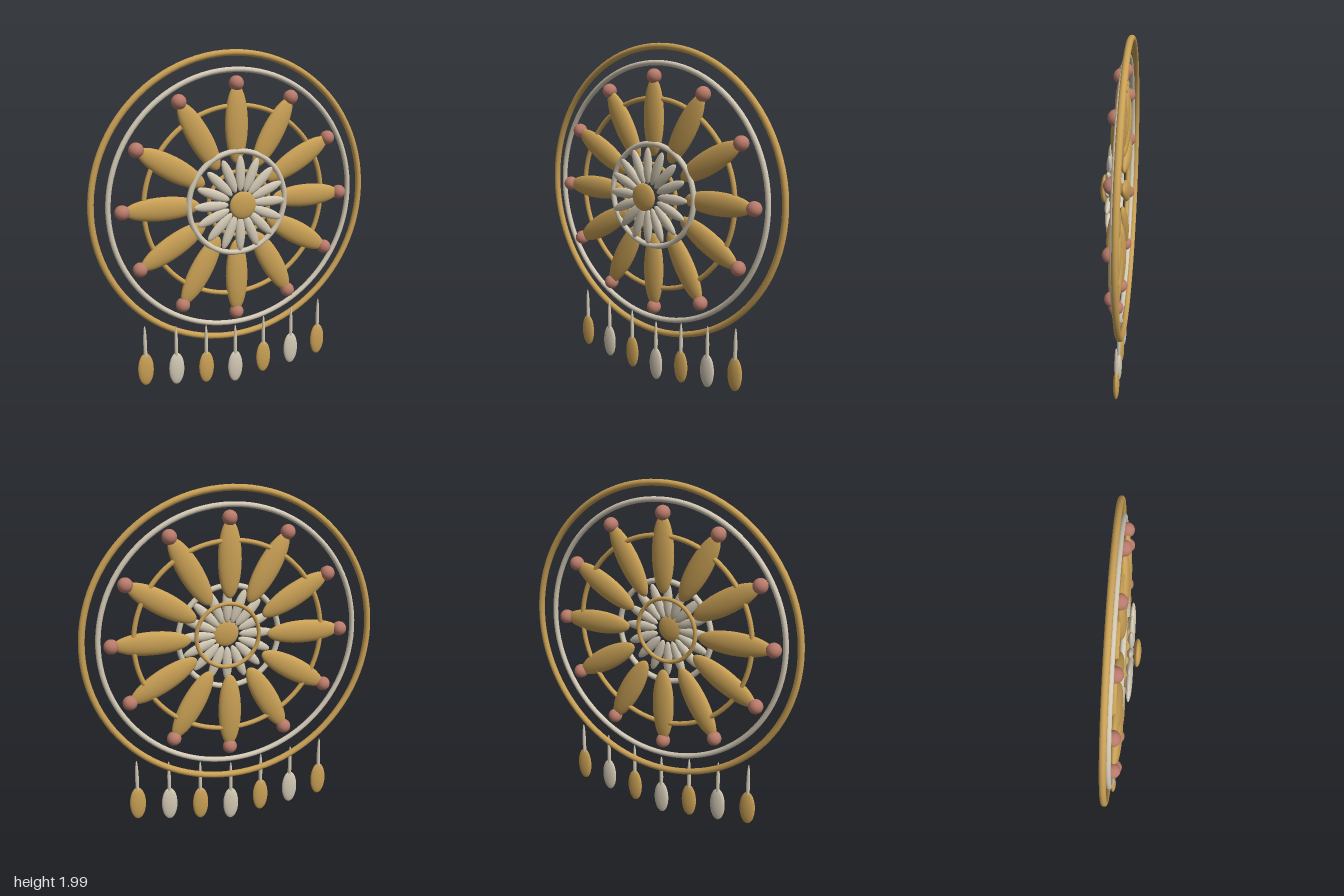
import * as THREE from 'three';

const gold = new THREE.MeshStandardMaterial({ name: 'gold', color: 0xc9a055 });
const silver = new THREE.MeshStandardMaterial({ name: 'silver', color: 0xd2c8b4 });
const rose = new THREE.MeshStandardMaterial({ name: 'rose', color: 0xb87a6a });

const CENTRE_Y = 1.147;
const ball = new THREE.SphereGeometry(1, 28, 20);

export function createModel() {
  const model = new THREE.Group();
  model.name = 'wheelOrnament';
  const wheel = new THREE.Group();
  wheel.name = 'wheel';
  wheel.position.y = CENTRE_Y;
  model.add(wheel);

  // Stretched sphere with the given half sizes
  function ellipsoid(parent, name, material, position, size) {
    const mesh = new THREE.Mesh(ball, material);
    mesh.name = name;
    mesh.position.set(...position);
    mesh.scale.set(...size);
    parent.add(mesh);
    return mesh;
  }

  function ring(name, material, radius, tube, z) {
    const mesh = new THREE.Mesh(new THREE.TorusGeometry(radius, tube, 14, 96), material);
    mesh.name = name;
    mesh.position.z = z;
    wheel.add(mesh);
  }

  // Concentric rings
  ring('outerRing', gold, 0.835, 0.018, -0.067);
  ring('outerSilverRing', silver, 0.745, 0.015, -0.047);
  ring('middleRing', gold, 0.55, 0.014, -0.034);
  ring('innerSilverRing', silver, 0.296, 0.016, -0.011);
  ring('innerGoldRing', gold, 0.186, 0.012, 0.008);

  // Large petals, each tipped with a bead
  for (let i = 0; i < 12; i++) {
    const spoke = new THREE.Group();
    spoke.name = 'spoke';
    spoke.rotation.z = (i / 12) * Math.PI * 2;
    ellipsoid(spoke, 'largePetal', gold, [0, 0.445, -0.028], [0.068, 0.22, 0.034]);
    ellipsoid(spoke, 'bead', rose, [0, 0.672, -0.03], [0.042, 0.042, 0.042]);
    wheel.add(spoke);
  }

  // Central flower
  for (let i = 0; i < 16; i++) {
    const holder = new THREE.Group();
    holder.name = 'flowerPetal';
    holder.rotation.z = (i / 16) * Math.PI * 2;
    ellipsoid(holder, 'smallPetal', silver, [0, 0.175, 0.026], [0.029, 0.103, 0.018]);
    wheel.add(holder);
  }
  ellipsoid(wheel, 'flowerCentre', gold, [0, 0, 0.063], [0.08, 0.08, 0.022]);

  // Hanging pendants, lowest in the middle
  const heights = [0.108, 0.138, 0.163, 0.193];
  for (let i = -3; i <= 3; i++) {
    const pendant = new THREE.Group();
    pendant.name = 'pendant';
    pendant.position.set(i * 0.188, heights[Math.abs(i)], -0.05);
    ellipsoid(pendant, 'drop', i % 2 ? gold : silver, [0, 0, 0], [0.047, 0.1, 0.018]);
    ellipsoid(pendant, 'hanger', silver, [0, 0.135, 0], [0.011, 0.135, 0.011]);
    model.add(pendant);
  }
  // Outer pair and middle pair alternate with the silver drops
  model.children.filter((c) => c.name === 'pendant').forEach((p, i) => {
    p.children[0].material = i % 2 ? silver : gold;
  });

  return model;
}
